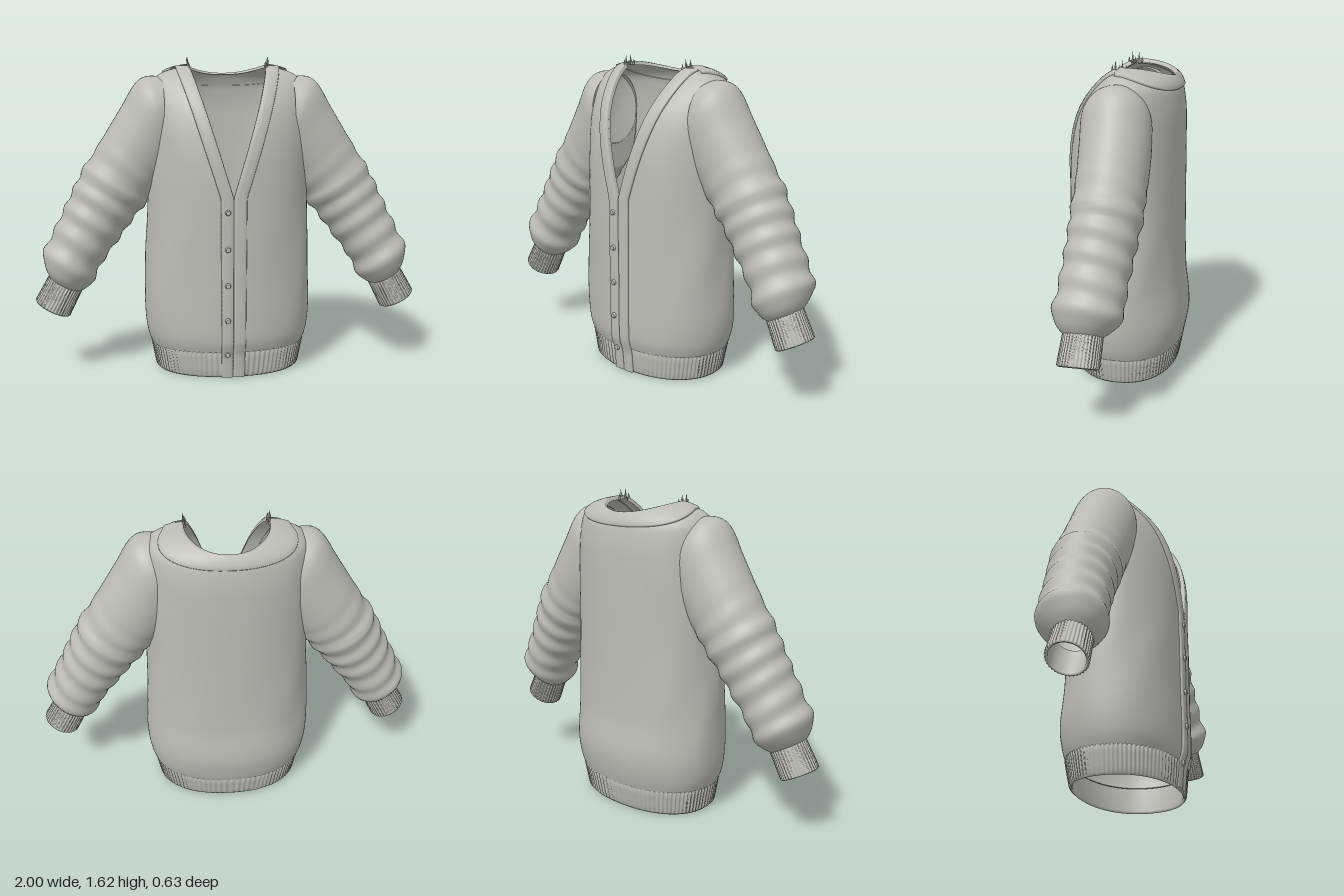
import * as THREE from 'three';
import { mergeVertices } from 'three/addons/utils/BufferGeometryUtils.js';

const HALF_PI = Math.PI / 2;
const TOP = 1.575;

// Torso: height, half width, front z, back z
const TORSO = [
  [0, 0.375, 0.27, -0.25], [0.13, 0.4, 0.283, -0.275], [0.18, 0.42, 0.3, -0.29],
  [0.3, 0.436, 0.304, -0.306], [0.5, 0.434, 0.303, -0.285], [0.85, 0.418, 0.304, -0.277],
  [1.1, 0.415, 0.298, -0.276], [1.25, 0.415, 0.277, -0.275], [1.36, 0.41, 0.243, -0.272],
  [1.44, 0.403, 0.195, -0.262], [1.5, 0.385, 0.143, -0.25], [1.54, 0.335, 0.1, -0.24],
  [1.56, 0.275, 0.07, -0.232], [TOP, 0.205, 0.05, -0.222],
];
// Sleeve: position along arm, centre x, y, z, tilt in degrees, radius across, radius in z
const SLEEVE = [
  [0, 0.33, 1.33, 0, 90, 0.19, 0.165], [0.1, 0.36, 1.32, 0, 65, 0.208, 0.172],
  [0.24, 0.41, 1.22, -0.005, 48, 0.2, 0.172], [0.4, 0.5, 1.08, -0.008, 37, 0.19, 0.168],
  [0.56, 0.607, 0.93, -0.004, 30, 0.178, 0.165], [0.76, 0.72, 0.745, 0.012, 28, 0.158, 0.158],
  [0.88, 0.795, 0.62, 0.024, 28, 0.146, 0.158], [0.94, 0.826, 0.553, 0.032, 28, 0.148, 0.163],
  [0.98, 0.842, 0.495, 0.042, 28, 0.118, 0.128], [1, 0.848, 0.465, 0.047, 28, 0.088, 0.092],
];

// Smooth interpolation through the rows of a table keyed by its first column
function sample(table, t) {
  const last = table.length - 1;
  let i = 0;
  while (i < last - 1 && t > table[i + 1][0]) i++;
  const a = table[i], b = table[i + 1], p = table[Math.max(i - 1, 0)], q = table[Math.min(i + 2, last)];
  const h = b[0] - a[0], s = Math.min(1, Math.max(0, (t - a[0]) / h));
  return a.slice(1).map((_, k) => {
    const c = k + 1;
    const ma = (b[c] - p[c]) / (b[0] - p[0]) * h, mb = (q[c] - a[c]) / (q[0] - a[0]) * h;
    const s2 = s * s, s3 = s2 * s;
    return (2 * s3 - 3 * s2 + 1) * a[c] + (s3 - 2 * s2 + s) * ma + (3 * s2 - 2 * s3) * b[c] + (s3 - s2) * mb;
  });
}

// Grid surface from fn(u, v); flip reverses the winding for mirrored parts
function surface(fn, nu, nv, flip = false) {
  const pos = [], idx = [];
  for (let i = 0; i <= nu; i++) {
    for (let j = 0; j <= nv; j++) pos.push(...fn(i / nu, j / nv).toArray());
  }
  for (let i = 0; i < nu; i++) {
    for (let j = 0; j < nv; j++) {
      const a = i * (nv + 1) + j, b = a + 1, c = a + nv + 1, d = c + 1;
      if (flip) idx.push(a, c, b, b, c, d);
      else idx.push(a, b, c, b, d, c);
    }
  }
  let g = new THREE.BufferGeometry();
  g.setAttribute('position', new THREE.Float32BufferAttribute(pos, 3));
  g.setIndex(idx);
  g = mergeVertices(g, 1e-5);
  g.computeVertexNormals();
  return g;
}

const POWER = 2.2;
const rounded = (c) => Math.sign(c) * Math.abs(c) ** (2 / POWER);

// Point on the body; theta 0 is centre front, PI is centre back
function body(y, theta) {
  const [a, front, back] = sample(TORSO, y);
  const c = Math.cos(theta), s = Math.sin(theta);
  const dip = 0.04 * THREE.MathUtils.smoothstep(y, 1.44, TOP) * Math.max(0, -c) ** 2;
  const calm = THREE.MathUtils.smoothstep(y, 0.15, 0.4) * (1 - THREE.MathUtils.smoothstep(y, 1.2, 1.45));
  const fold = 1 + 0.008 * calm * Math.sin(theta * 7 + 2 * Math.sin(y * 5)) * Math.abs(s);
  return new THREE.Vector3(a * rounded(s) * fold, y - dip, (c > 0 ? front : -back) * rounded(c) * fold);
}

// Point on the body pushed out along its normal
function raised(y, theta, out) {
  const e = 0.004, y0 = Math.max(0, y - e), y1 = Math.min(TOP, y + e);
  const du = body(y1, theta).sub(body(y0, theta));
  const dt = body(y, theta + e).sub(body(y, theta - e));
  return body(y, theta).addScaledVector(dt.cross(du).normalize().negate(), -out);
}

const neckX = (y) => Math.min(0.195, Math.max(0, (y - 0.93) / 0.62 * 0.19));
const thetaAt = (y, x) => Math.asin(Math.min(1, x / sample(TORSO, y)[0]) ** (POWER / 2));

// Sleeve point at distance t and angle v round the arm
function sleevePoint(t, v) {
  const [x, y, z, tilt, r, rz] = sample(SLEEVE, t);
  const ang = v * 2 * Math.PI, k = THREE.MathUtils.degToRad(tilt);
  const loose = THREE.MathUtils.smoothstep(t, 0.3, 0.6) * (1 - THREE.MathUtils.smoothstep(t, 0.93, 1));
  const seam = t > 0.5 && t < 0.56 ? 0.004 : 0;
  const wrinkle = 0.006 * loose * Math.sin(t * 62 + 1.7 * Math.sin(ang + 0.6)) + seam;
  const across = Math.cos(ang) * (r + wrinkle);
  return new THREE.Vector3(Math.max(0.325, x + across * Math.cos(k)), y + across * Math.sin(k), z + Math.sin(ang) * (rz + wrinkle));
}

// Ribbed cuff with thickness: down the outside, up the inside
const CUFF = [[0, 0.08], [0, 0.092], [0.35, 0.093], [0.7, 0.095], [0.96, 0.096], [1, 0.09], [0.96, 0.082], [0.5, 0.08], [0, 0.078]];
function cuffPoint(u, v) {
  const i = Math.round(u * (CUFF.length - 1)), ang = v * 2 * Math.PI;
  const [t, base] = CUFF[i];
  const r = base + (i > 0 && i < 5 ? 0.0025 * Math.sin(ang * 36) : 0);
  const k = THREE.MathUtils.degToRad(28), across = r * Math.cos(ang);
  return new THREE.Vector3(0.843 + 0.073 * t + across * Math.cos(k), 0.473 - 0.137 * t + across * Math.sin(k), 0.047 + 0.008 * t + r * Math.sin(ang));
}

export function createModel() {
  const group = new THREE.Group();
  const wool = new THREE.MeshStandardMaterial({ color: 0xbcbcb4, side: THREE.DoubleSide });
  wool.name = 'grey wool';
  const add = (name, geometry, parent = group) => {
    const m = new THREE.Mesh(geometry, wool);
    m.name = name;
    parent.add(m);
    return m;
  };

  // Body with a V opening in front and an open neck
  add('body', surface((u, v) => {
    const y = 0.13 + (TOP - 0.13) * (1 - (1 - u) ** 1.8);
    const t0 = thetaAt(y, neckX(y));
    return body(y, t0 + (2 * Math.PI - 2 * t0) * v);
  }, 80, 96));

  // Ribbed hem, turned in at the bottom
  const hem = [[0.145, -0.012], [0.135, 0.002], [0.1, 0.003], [0.05, 0.003], [0.012, 0.002], [0, -0.006], [0.012, -0.016], [0.14, -0.016]];
  add('hem', surface((u, v) => {
    const i = Math.round(u * (hem.length - 1)), ang = v * 2 * Math.PI;
    const rib = i > 0 && i < 5 ? 0.003 * Math.sin(ang * 90) : 0;
    const p = body(hem[i][0], ang), n = new THREE.Vector3(p.x, 0, p.z).normalize();
    return p.addScaledVector(n, hem[i][1] + rib);
  }, hem.length - 1, 540, true));

  // Raised edge profile shared by the bands: position across, height off the cloth
  const edge = [[0, -0.012], [0, 0.004], [0.06, 0.011], [0.35, 0.012], [0.65, 0.012], [0.94, 0.011], [1, 0.005], [1, -0.004]];
  const edgeAt = (v) => edge[Math.round(v * (edge.length - 1))];

  for (const side of [1, -1]) {
    const label = side > 0 ? 'left' : 'right';
    const mirror = (p) => { p.x *= side; return p; };

    // Button band continuing up the neckline
    add(label + 'FrontBand', surface((u, v) => {
      const y = 0.004 + 1.561 * (1 - (1 - u) ** 1.4), [w, out] = edgeAt(v);
      const x0 = neckX(y), t0 = thetaAt(y, x0), t1 = thetaAt(y, x0 + 0.06 + 0.012 * u);
      return mirror(raised(y, t0 + (t1 - t0) * w, out));
    }, 90, edge.length - 1, side < 0));

    // Half of the collar round the back of the neck
    add(label + 'Collar', surface((u, v) => {
      const theta = 1.3 + (Math.PI - 1.3) * u, [w, out] = edgeAt(v);
      const low = 1.552 - 0.075 * Math.max(0, -Math.cos(theta)) ** 1.3;
      return mirror(raised(TOP - (TOP - low) * w, theta, out));
    }, 32, edge.length - 1, side < 0));

    // Sleeve and cuff
    add(label + 'Sleeve', surface((u, v) => mirror(sleevePoint(u, v)), 80, 48, side < 0));
    add(label + 'Cuff', surface((u, v) => mirror(cuffPoint(u, v)), CUFF.length - 1, 216, side < 0));

    // Frayed threads where the band meets the collar
    const threads = new THREE.Group();
    threads.name = label + 'Threads';
    group.add(threads);
    for (let i = 0; i < 5; i++) {
      const h = 0.03 + 0.012 * ((i * 2) % 4);
      const t = add('thread', new THREE.ConeGeometry(0.007, h, 5), threads);
      t.position.set(side * (0.2 + 0.006 * (i % 2)), 1.567 + h / 2, 0.055 - 0.017 * i);
      t.rotation.z = side * 0.15 * (i % 3 - 1);
    }
  }

  // Buttons
  for (const y of [0.86, 0.675, 0.49, 0.31, 0.13]) {
    const b = add('button', new THREE.CylinderGeometry(0.011, 0.016, 0.014, 16));
    b.rotation.x = HALF_PI;
    b.position.copy(raised(y, -thetaAt(y, 0.03), 0.016));
  }
  return group;
}
